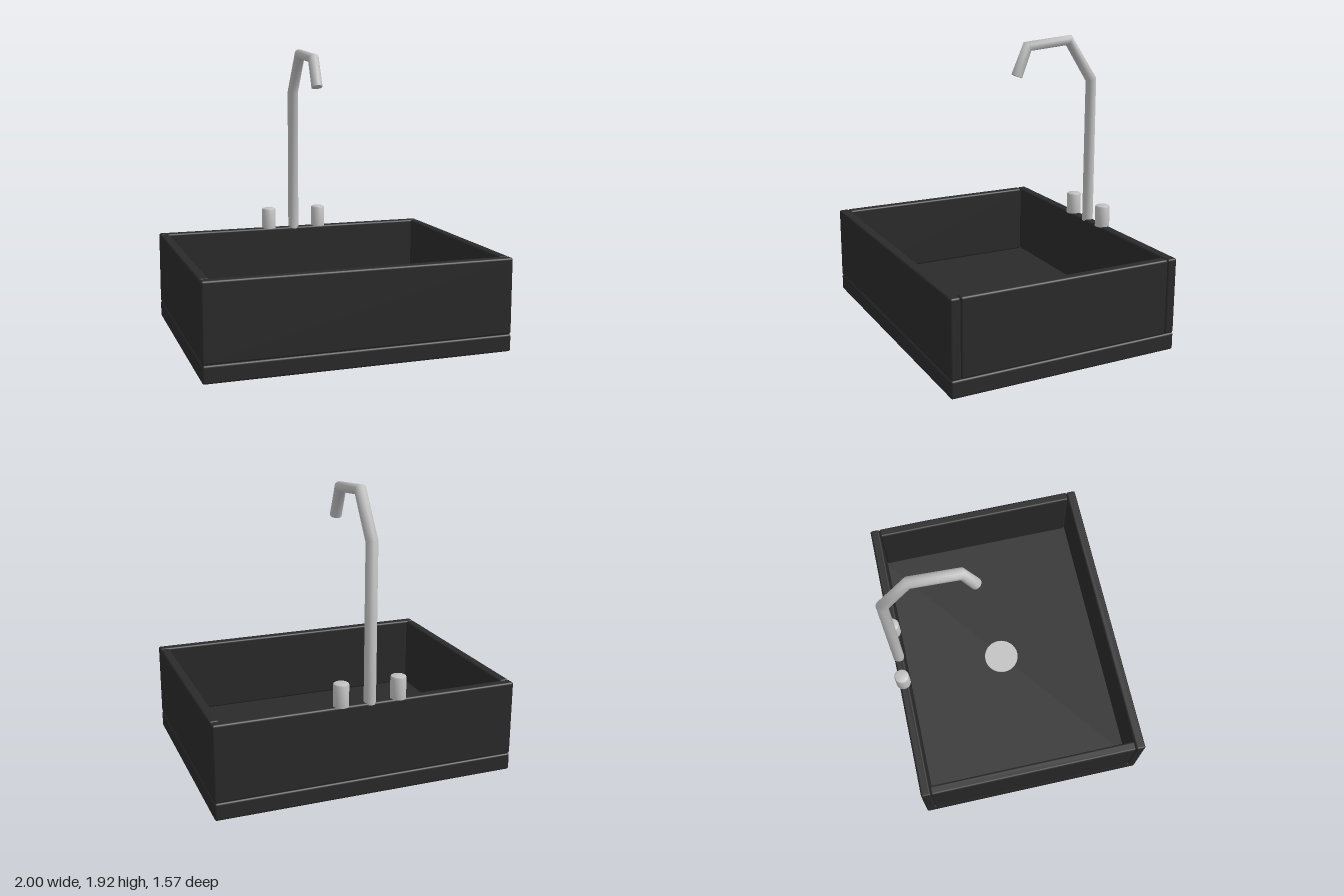
import * as THREE from 'three';
import { RoundedBoxGeometry } from 'three/addons/geometries/RoundedBoxGeometry.js';
import { toCreasedNormals } from 'three/addons/utils/BufferGeometryUtils.js';

// Path with straight runs; the tube gets one ring at each corner
class BentPath extends THREE.Curve {
  constructor(points) {
    super();
    this.points = points;
  }
  getPointAt(u) {
    return this.points[Math.round(u * (this.points.length - 1))].clone();
  }
  getPoint(u) {
    return this.getPointAt(u);
  }
  getTangentAt(u) {
    const p = this.points, last = p.length - 1, i = Math.round(u * last);
    const t = new THREE.Vector3();
    if (i > 0) t.add(p[i].clone().sub(p[i - 1]).normalize());
    if (i < last) t.add(p[i + 1].clone().sub(p[i]).normalize());
    return t.normalize();
  }
}

export function createModel() {
  const group = new THREE.Group();
  const darkStone = new THREE.MeshStandardMaterial({ color: 0x2a2a2a });
  darkStone.name = 'dark stone';
  const metal = new THREE.MeshStandardMaterial({ color: 0xc0c0c0 });
  metal.name = 'metal';

  const add = (name, geometry, material, x = 0, y = 0, z = 0) => {
    const mesh = new THREE.Mesh(geometry, material);
    mesh.name = name;
    mesh.position.set(x, y, z);
    group.add(mesh);
    return mesh;
  };

  // Rounded slab given by its lower and upper limits
  const slab = (name, [x0, x1], [y0, y1], [z0, z1]) =>
    add(name, new RoundedBoxGeometry(x1 - x0, y1 - y0, z1 - z0, 3, 0.014), darkStone,
      (x0 + x1) / 2, (y0 + y1) / 2, (z0 + z1) / 2);

  // Basin
  slab('base', [-1, 1], [0, 0.114], [-0.768, 0.783]);
  slab('frontWall', [-1, 1], [0.114, 0.613], [0.717, 0.783]);
  slab('backWall', [-1, 1], [0.114, 0.613], [-0.768, -0.702]);
  slab('leftWall', [0.937, 1], [0.114, 0.613], [-0.702, 0.717]);
  slab('rightWall', [-1, -0.937], [0.114, 0.613], [-0.702, 0.717]);

  // Drain on the basin floor
  add('drain', new THREE.CylinderGeometry(0.123, 0.123, 0.02, 32), metal, 0, 0.115, 0);

  // Tap handles
  const handleProfile = [[0, 0], [0.05, 0], [0.05, 0.138], [0.046, 0.146], [0.038, 0.15], [0, 0.15]]
    .map(([r, y]) => new THREE.Vector2(r, y));
  const handle = toCreasedNormals(new THREE.LatheGeometry(handleProfile, 24), 0.6);
  for (const [name, side] of [['leftHandle', 1], ['rightHandle', -1]]) {
    add(name, handle, metal, side * 0.19, 0.61, -0.737);
  }

  // Spout
  const path = new BentPath([
    [0.6, -0.737], [1.61, -0.737], [1.888, -0.553], [1.86, -0.238], [1.667, -0.158],
  ].map(([y, z]) => new THREE.Vector3(0, y, z)));
  add('spout', new THREE.TubeGeometry(path, 4, 0.038, 16, false), metal);

  // Closed outlet at the spout tip
  const tip = path.getPointAt(1);
  const outlet = add('spoutOutlet', new THREE.CircleGeometry(0.038, 16), metal, tip.x, tip.y, tip.z);
  outlet.quaternion.setFromUnitVectors(new THREE.Vector3(0, 0, 1), path.getTangentAt(1));

  return group;
}
